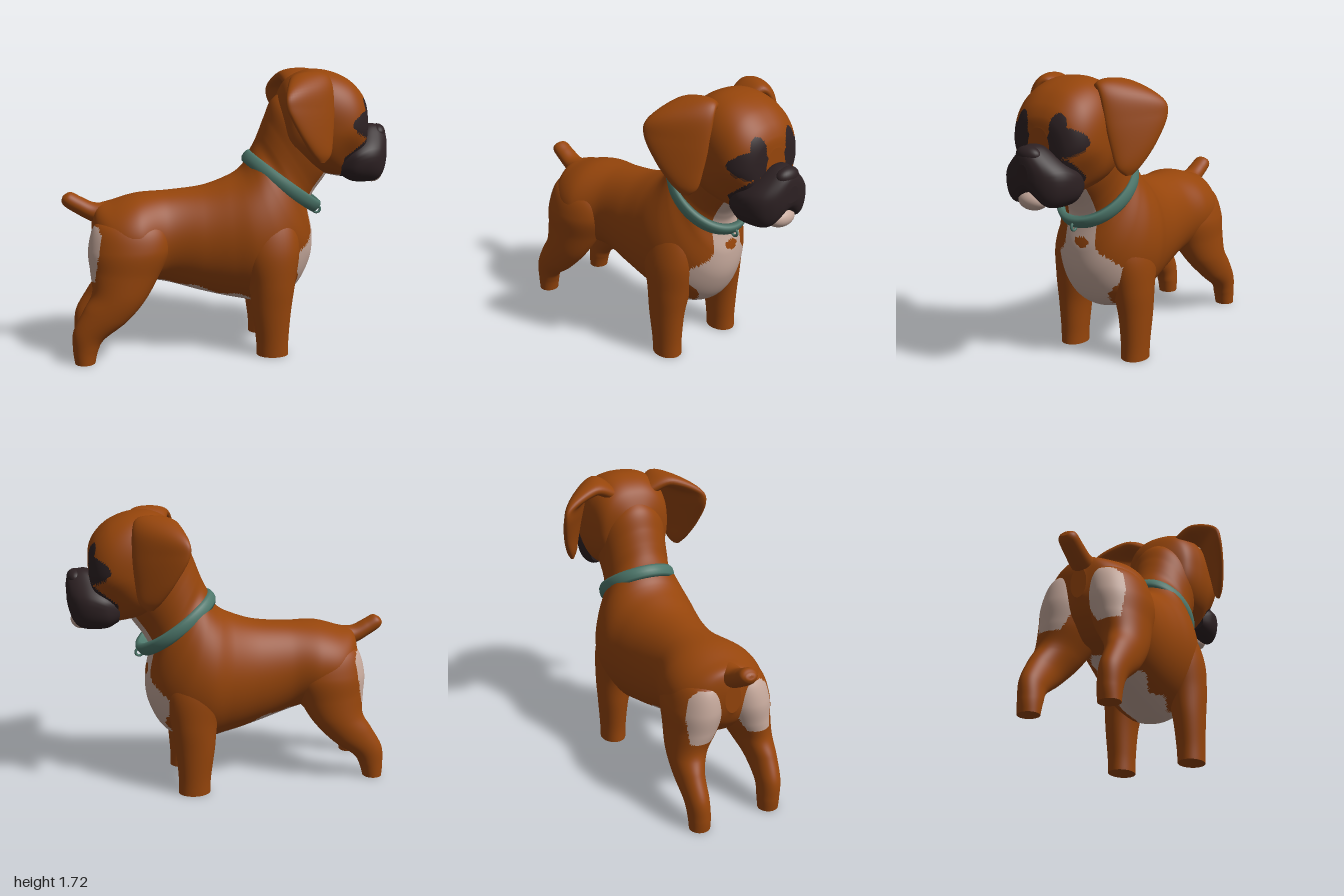
import * as THREE from 'three';

const mat = (name, color, side = THREE.FrontSide) => {
  const m = new THREE.MeshStandardMaterial({ color, side });
  m.name = name;
  return m;
};

// Catmull-Rom blend of number rows
function spline(rows, t) {
  const n = rows.length - 1, s = t * n, i = Math.min(Math.floor(s), n - 1), f = s - i;
  const r = k => rows[Math.max(0, Math.min(n, k))];
  const [a, b, c, d] = [r(i - 1), r(i), r(i + 1), r(i + 2)];
  return b.map((v, k) => v + 0.5 * f * (c[k] - a[k] + f * (2 * a[k] - 5 * v + 4 * c[k] - d[k]
    + f * (3 * (v - c[k]) + d[k] - a[k]))));
}

// Skin of rounded cross-sections; a row is [ax,ay,az, bx,by,bz, halfWidth], a and b being opposite edges.
// pick(point) gives the material number of a face, warp(point) reshapes a vertex.
function loft(rows, { rings = 48, sides = 40, power = 1, flap = false, warp, pick } = {}) {
  const pos = [], tris = [];
  const V = (r, o) => new THREE.Vector3(r[o], r[o + 1], r[o + 2]);
  const centre = t => { const r = spline(rows, t); return V(r, 0).add(V(r, 3)).multiplyScalar(0.5); };
  const soft = v => Math.sign(v) * Math.abs(v) ** power;
  for (let i = 0; i <= rings; i++) {
    const t = i / rings, r = spline(rows, t), c = centre(t), half = V(r, 0).sub(c);
    let wide = new THREE.Vector3(0, 0, 1);
    if (flap) {
      const along = centre(Math.min(1, t + 0.02)).sub(centre(Math.max(0, t - 0.02)));
      wide = along.cross(half).normalize();
    }
    for (let j = 0; j < sides; j++) {
      const q = j / sides * Math.PI * 2;
      const p = c.clone().addScaledVector(half, soft(Math.cos(q))).addScaledVector(wide, r[6] * soft(Math.sin(q)));
      if (warp) warp(p);
      pos.push(p.x, p.y, p.z);
    }
  }
  for (let i = 0; i < rings; i++) for (let j = 0; j < sides; j++) {
    const k = (j + 1) % sides, a = i * sides + j, b = i * sides + k;
    tris.push([a, b, a + sides], [b, b + sides, a + sides]);
  }
  // flat end caps with their own vertices
  for (const i of [0, rings]) {
    const base = pos.length / 3, c = [0, 0, 0];
    for (let j = 0; j < sides; j++) for (let k = 0; k < 3; k++) {
      const v = pos[(i * sides + j) * 3 + k];
      pos.push(v);
      c[k] += v / sides;
    }
    pos.push(...c);
    for (let j = 0; j < sides; j++) {
      const a = base + j, b = base + (j + 1) % sides;
      tris.push(i ? [a, b, base + sides] : [b, a, base + sides]);
    }
  }
  // turn the skin outwards
  const at = i => new THREE.Vector3().fromArray(pos, i * 3);
  let volume = 0;
  for (const [a, b, c] of tris) volume += at(a).dot(at(b).cross(at(c)));
  if (volume < 0) tris.forEach(f => f.reverse());

  const geo = new THREE.BufferGeometry();
  geo.setAttribute('position', new THREE.Float32BufferAttribute(pos, 3));
  const lists = [[], [], []];
  for (const f of tris) {
    const mid = at(f[0]).add(at(f[1])).add(at(f[2])).divideScalar(3);
    lists[pick ? pick(mid) : 0].push(...f);
  }
  geo.setIndex(lists.flat());
  let start = 0;
  lists.forEach((l, m) => { if (pick && l.length) geo.addGroup(start, l.length, m); start += l.length; });
  geo.computeVertexNormals();
  return geo;
}

// Upright sections: [ax,ay, bx,by, halfWidth, z]
const flat = rows => rows.map(([ax, ay, bx, by, w, z = 0]) => [ax, ay, z, bx, by, z, w]);
// Mirror rows across the plane z = m
const mirror = (rows, m) => rows.map(r => r.map((v, k) => (k === 2 || k === 5 ? 2 * m - v : v)));
const inside = (u, v, cu, cv, ru, rv) => ((u - cu) / ru) ** 2 + ((v - cv) / rv) ** 2 < 1;
const ramp = THREE.MathUtils.smoothstep;

export function createModel() {
  const dog = new THREE.Group();
  dog.name = 'dog';
  const coat = mat('tan coat', 0x96450b), cream = mat('cream fur', 0xc6a99c), mask = mat('dark mask', 0x2d2123);
  const teal = mat('teal collar', 0x4d776b, THREE.DoubleSide), black = mat('eye black', 0x1c1517);
  const fur = [coat, cream, mask];
  const add = (name, geo, material, parent = dog) => {
    const m = new THREE.Mesh(geo, material);
    m.name = name;
    parent.add(m);
    return m;
  };
  const ball = (name, material, x, y, z, rx, ry, rz) => {
    const m = add(name, new THREE.SphereGeometry(1, 28, 20), material);
    m.position.set(x, y, z);
    m.scale.set(rx, ry, rz);
  };

  // Torso and neck, with cream chest, throat and belly
  const bib = new THREE.CatmullRomCurve3([[0.11, 0.28], [0.13, 0.41], [0.165, 0.47], [0.22, 0.53], [0.235, 0.61],
    [0.18, 0.67], [0.12, 0.72], [0.11, 0.85], [0.105, 1.15]].map(([w, y]) => new THREE.Vector3(w, y, 0))).getPoints(60);
  const torsoColor = p => {
    const z = Math.abs(p.z);
    if (p.x > 0.36 && p.y < 1.15) {
      const row = bib.find(b => b.y >= p.y) || bib[60];
      return z < row.x && !inside(p.z, p.y, -0.02, 0.755, 0.05, 0.03) ? 1 : 0;
    }
    return p.x > -0.48 && p.y < 0.47 && Math.abs(p.z - 0.03) < 0.13 + 0.02 * Math.sin(p.x * 25) ? 1 : 0;
  };
  add('torso', loft(flat([
    [-0.82, 0.84, -0.82, 0.66, 0.05, 0.09], [-0.79, 0.915, -0.77, 0.56, 0.18, 0.085],
    [-0.7, 0.945, -0.66, 0.47, 0.28, 0.085], [-0.55, 0.985, -0.5, 0.46, 0.3, 0.08],
    [-0.35, 0.997, -0.36, 0.425, 0.245, 0.05], [-0.15, 1.02, -0.15, 0.36, 0.265, 0.035],
    [0, 1.07, 0.05, 0.31, 0.3, 0.02], [0.08, 1.115, 0.24, 0.285, 0.33, 0.005],
    [0.125, 1.17, 0.42, 0.36, 0.315], [0.15, 1.23, 0.52, 0.53, 0.27], [0.18, 1.29, 0.54, 0.7, 0.223],
    [0.205, 1.35, 0.51, 0.87, 0.21], [0.235, 1.43, 0.54, 0.96, 0.21], [0.285, 1.54, 0.61, 1.06, 0.218],
    [0.4, 1.62, 0.66, 1.14, 0.19]]), { rings: 180, sides: 96, pick: torsoColor }), fur);

  // Legs; the hindquarters sit a little to the left
  const foreleg = flat([[0.365, 0, 0.17, 0, 0.08, 0.253], [0.365, 0.1, 0.165, 0.1, 0.083, 0.253],
    [0.38, 0.28, 0.14, 0.28, 0.097, 0.25], [0.405, 0.45, 0.12, 0.45, 0.12, 0.235],
    [0.43, 0.65, 0.07, 0.65, 0.13, 0.218], [0.4, 0.82, 0.09, 0.84, 0.105, 0.185], [0.3, 0.95, 0.18, 0.96, 0.04, 0.15]]);
  const hindleg = flat([[-0.81, 0, -0.93, 0, 0.062, 0.32], [-0.79, 0.08, -0.94, 0.08, 0.066, 0.32],
    [-0.75, 0.15, -0.935, 0.2, 0.07, 0.325], [-0.62, 0.25, -0.87, 0.33, 0.085, 0.325],
    [-0.51, 0.37, -0.82, 0.43, 0.115, 0.3], [-0.42, 0.52, -0.83, 0.55, 0.15, 0.26],
    [-0.35, 0.68, -0.84, 0.68, 0.17, 0.235], [-0.38, 0.82, -0.8, 0.82, 0.14, 0.21], [-0.52, 0.89, -0.7, 0.88, 0.05, 0.17]]);
  const rump = p => (p.y > 0.5 && p.y < 0.82 && p.x < -0.8 + 0.17 * (p.y - 0.5) - 0.6 * Math.max(0, p.y - 0.77) ? 1 : 0);
  add('leftForeleg', loft(foreleg), coat);
  add('rightForeleg', loft(mirror(foreleg, 0.018)), coat);
  add('leftHindleg', loft(hindleg, { rings: 110, sides: 80, pick: rump }), fur);
  const step = p => { p.x -= 0.025 * Math.max(0, 1 - p.y / 0.4); };
  add('rightHindleg', loft(mirror(hindleg, 0.088), { rings: 110, sides: 80, pick: rump, warp: step }), fur);

  // Short tail
  add('tail', loft(flat([[-0.7, 0.94, -0.72, 0.8, 0.075, 0.1], [-0.8, 0.935, -0.82, 0.82, 0.066, 0.1],
    [-0.88, 0.97, -0.92, 0.875, 0.06, 0.1], [-0.94, 1, -0.98, 0.915, 0.055, 0.1],
    [-0.975, 0.988, -0.998, 0.945, 0.035, 0.1], [-0.99, 0.975, -0.995, 0.96, 0.01, 0.1]])), coat);

  // Head with dark eye patches and jaw, the jaw tapering into the muzzle
  const headColor = p => {
    const z = Math.abs(p.z);
    if (p.x > 0.7 && p.y < 1.2 + (p.x - 0.7) * 0.8) return 2;
    if (p.x > 0.7 && (inside(z, p.y, 0.16, 1.4, 0.102, 0.082) || inside(z, p.y, 0.125, 1.475, 0.05, 0.08))) return 2;
    return p.x > 0.5 && p.y < 1.14 && z < 0.1 ? 1 : 0;
  };
  const jaw = p => { p.z *= 1 - 0.27 * ramp(p.x, 0.58, 0.78) * (1 - ramp(p.y, 1.15, 1.38)); };
  add('head', loft(flat([[0.29, 1.5, 0.31, 1.3, 0.08], [0.36, 1.645, 0.36, 1.18, 0.21], [0.48, 1.715, 0.47, 1.11, 0.26],
    [0.61, 1.715, 0.6, 1.085, 0.277], [0.73, 1.67, 0.7, 1.065, 0.268], [0.81, 1.6, 0.77, 1.06, 0.235],
    [0.85, 1.53, 0.83, 1.08, 0.175], [0.86, 1.47, 0.86, 1.15, 0.08]]),
  { rings: 100, sides: 120, power: 0.82, pick: headColor, warp: jaw }), fur);

  // Muzzle: narrow bridge, hanging lips with a notch over the chin
  const lips = p => {
    p.z *= 1 - 0.5 * ramp(p.y, 1.2, 1.4);
    if (p.y < 1.2) p.y += 0.1 * Math.exp(-((p.z / 0.085) ** 2)) * (1.2 - p.y) / 0.17;
  };
  add('muzzle', loft(flat([[0.68, 1.23, 0.7, 1.06, 0.18], [0.78, 1.32, 0.76, 1.025, 0.214], [0.86, 1.38, 0.85, 1.015, 0.212],
    [0.92, 1.385, 0.92, 1.02, 0.185], [0.965, 1.365, 0.96, 1.05, 0.14], [0.988, 1.335, 0.983, 1.11, 0.09],
    [0.996, 1.29, 0.993, 1.18, 0.04]]), { rings: 60, sides: 72, power: 0.75, warp: lips }), mask);
  ball('nose', mask, 0.94, 1.335, 0, 0.05, 0.05, 0.08);
  ball('chin', cream, 0.912, 1.08, 0, 0.064, 0.056, 0.092);

  // Folded ears and eyes on both sides
  const ear = [[0.56, 1.63, 0.13, 0.38, 1.62, 0.13, 0.045], [0.59, 1.68, 0.185, 0.35, 1.665, 0.26, 0.045],
    [0.61, 1.63, 0.23, 0.31, 1.6, 0.435, 0.04], [0.615, 1.48, 0.268, 0.315, 1.51, 0.47, 0.036],
    [0.605, 1.34, 0.3, 0.39, 1.37, 0.45, 0.03], [0.59, 1.24, 0.325, 0.46, 1.26, 0.41, 0.025],
    [0.55, 1.195, 0.355, 0.51, 1.2, 0.375, 0.01]];
  for (const [side, s] of [['left', 1], ['right', -1]]) {
    add(side + 'Ear', loft(s > 0 ? ear : mirror(ear, 0), { flap: true, power: 0.9 }), coat);
    ball(side + 'Eye', black, 0.805, 1.41, s * 0.165, 0.03, 0.024, 0.03);
  }

  // Tilted collar with a small ring at the throat
  const collar = new THREE.Group();
  collar.name = 'collar';
  collar.position.set(0.346, 1.036, 0);
  collar.rotation.z = -0.63;
  dog.add(collar);
  const band = [[0.86, -0.036], [0.96, -0.04], [1, -0.024], [1.01, 0], [1, 0.024], [0.96, 0.04], [0.86, 0.036], [0.86, -0.036]];
  const strap = add('strap', new THREE.LatheGeometry(band.map(b => new THREE.Vector2(...b)), 64), teal, collar);
  strap.scale.set(0.288, 1, 0.238);
  const ring = add('collarRing', new THREE.TorusGeometry(0.022, 0.008, 10, 24), teal, collar);
  ring.position.set(0.29, -0.015, 0);
  return dog;
}
